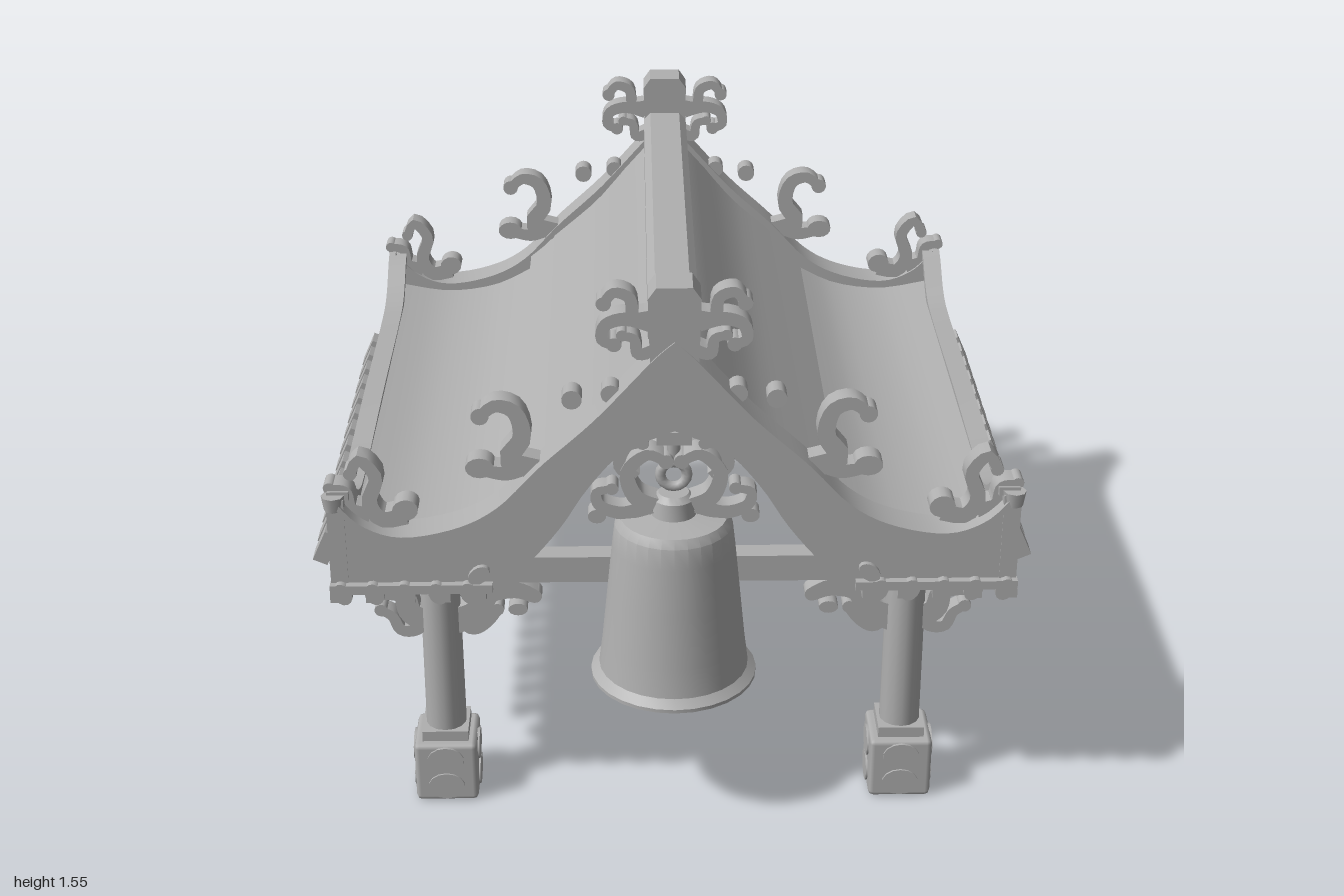
import * as THREE from 'three';
import { toCreasedNormals } from 'three/addons/utils/BufferGeometryUtils.js';
import { RoundedBoxGeometry } from 'three/addons/geometries/RoundedBoxGeometry.js';

const stone = new THREE.MeshStandardMaterial({ color: 0xb0b0b0, side: THREE.DoubleSide });
stone.name = 'stone grey';

const V = (x, y) => new THREE.Vector2(x, y);
const smooth = (pts, n = 24) => new THREE.SplineCurve(pts.map(p => V(p[0], p[1]))).getPoints(n);
const flip = pts => pts.map(p => V(-p.x, p.y)).reverse();

export function createModel() {
  const root = new THREE.Group();
  root.name = 'bellPavilion';

  const add = (name, geo, x = 0, y = 0, z = 0, parent = root) => {
    const m = new THREE.Mesh(geo, stone);
    m.name = name;
    m.position.set(x, y, z);
    parent.add(m);
    return m;
  };
  const box = (name, w, h, d, x, y, z, parent) => add(name, new THREE.BoxGeometry(w, h, d), x, y, z, parent);

  // Outline in the xy plane, extruded symmetrically around z
  const plate = (pts, depth) => {
    const g = new THREE.ExtrudeGeometry(new THREE.Shape(pts), { depth, bevelEnabled: false, curveSegments: 8 });
    g.translate(0, 0, -depth / 2);
    return toCreasedNormals(g, 0.6);
  };

  // Tapering curl with a round knob at its tip; s mirrors it in x
  const curl = (name, pts, w0, w1, s, z, depth, knob = 0) => {
    const line = smooth(pts.map(p => [p[0] * s, p[1]]), 16);
    const a = [], b = [];
    line.forEach((p, i) => {
      const q = line[Math.min(i + 1, 16)], o = line[Math.max(i - 1, 0)];
      const n = V(o.y - q.y, q.x - o.x).normalize().multiplyScalar((w0 + (w1 - w0) * i / 16) / 2);
      a.push(V(p.x + n.x, p.y + n.y));
      b.unshift(V(p.x - n.x, p.y - n.y));
    });
    add(name, plate([...a, ...b], depth), 0, 0, z);
    if (knob) disc(name + 'Knob', line[16].x, line[16].y, knob, knob, 0, z, depth);
  };
  const disc = (name, x, y, rx, ry, tilt, z, depth) => {
    const g = new THREE.CylinderGeometry(1, 1, depth, 14).rotateX(Math.PI / 2).scale(rx, ry, 1).rotateZ(tilt);
    add(name, g, x, y, z);
  };

  // Roof sheet with a crease halfway down each slope
  const top = [...smooth([[0, 1.37], [0.06, 1.33], [0.2, 1.16], [0.31, 1.06], [0.43, 0.96]], 12),
    ...smooth([[0.435, 0.91], [0.55, 0.855], [0.7, 0.835], [0.85, 0.86]], 10)];
  const under = top.map(p => V(p.x, p.y - 0.04)).reverse();
  add('roofSheet', plate([...flip(top).slice(0, -1), ...top, ...under.slice(0, -1), ...flip(under)], 1.66));

  // Ridge beam along the top
  const ridge = [V(-0.065, 1.31), V(0.065, 1.31), V(0.065, 1.42), V(0.045, 1.44), V(-0.045, 1.44), V(-0.065, 1.42)];
  add('ridgeBeam', plate(ridge, 1.64));

  // Gable boards: swept outline with a thin trim on the upper edge
  const edge = smooth([[0, 1.385], [0.06, 1.33], [0.2, 1.175], [0.34, 1.045], [0.45, 0.93],
    [0.56, 0.87], [0.7, 0.845], [0.8, 0.88], [0.865, 0.95]], 36);
  const lower = smooth([[0.45, 0.71], [0.37, 0.79], [0.29, 0.89], [0.22, 1.0], [0.13, 1.1], [0, 1.16]], 18);
  const gable = [...flip(edge).slice(0, -1), ...edge, V(0.865, 0.71), ...lower, ...flip(lower).slice(1), V(-0.865, 0.71)];
  const raise = edge.map(p => V(p.x, p.y + 0.022));
  const trim = [...flip(raise).slice(0, -1), ...raise, ...[...edge].reverse(), ...flip(edge).reverse().slice(1)];
  // Mirror half of the lower trim edge runs from centre to left tip
  trim.splice(trim.length - edge.length + 1, edge.length - 1, ...edge.slice(1).map(p => V(-p.x, p.y)));

  // Bell profile: outside from lip to crown, then back down inside
  const bellProfile = [[0.195, 0.40], [0.205, 0.39], [0.222, 0.39], [0.222, 0.4], [0.2, 0.42], [0.19, 0.5],
    [0.175, 0.65], [0.162, 0.78], [0.155, 0.84], [0.14, 0.862], [0.06, 0.87], [0.055, 0.915], [0.04, 0.93], [0, 0.93]];
  const bellInside = [[0.195, 0.4], [0.18, 0.5], [0.155, 0.75], [0.14, 0.83], [0, 0.845]];

  for (const f of [1, -1]) {
    add('gableBoard', plate(gable, 0.07), 0, 0, f * 0.855);
    add('gableTrim', plate(trim, 0.1), 0, 0, f * 0.85);

    // Ridge end post
    const post = [V(-0.05, 1.2), V(0.05, 1.2), V(0.058, 1.24), V(0.066, 1.52), V(0.045, 1.55),
      V(-0.045, 1.55), V(-0.066, 1.52), V(-0.058, 1.24)];
    add('ridgePost', plate(post, 0.1), 0, 0, f * 0.845);

    // Cross beam between the posts
    box('crossBeam', 1.24, 0.075, 0.06, 0, 0.695, f * 0.74);

    // Bell, clapper and hanger
    const bz = f * 0.775;
    const lathe = (p, n) => toCreasedNormals(new THREE.LatheGeometry(p.map(q => V(q[0], q[1])), n), 0.5);
    add('bell', lathe(bellProfile, 28), 0, 0, bz);
    add('bellInside', lathe(bellInside, 28), 0, 0, bz);
    add('clapperRod', new THREE.CylinderGeometry(0.011, 0.011, 0.52, 8), 0, 0.59, bz);
    add('clapper', lathe([[0, 0.265], [0.018, 0.268], [0.025, 0.285], [0.025, 0.31], [0.012, 0.335], [0, 0.335]], 10), 0, 0, bz);
    add('hangerPin', new THREE.CylinderGeometry(0.022, 0.015, 0.12, 8), 0, 1.08, bz);
    box('hangerBlock', 0.09, 0.035, 0.15, 0, 1.125, f * 0.79);
    add('hangerRing', new THREE.TorusGeometry(0.035, 0.014, 8, 16), 0, 0.98, bz);

    for (const s of [1, -1]) {
      // Crown scrolls on the bell
      curl('crownArch', [[0.05, 0.9], [0.1, 0.93], [0.12, 1.0], [0.07, 1.05], [0.02, 1.03]], 0.05, 0.025, s, bz, 0.06, 0.02);
      curl('crownCurl', [[0.06, 0.9], [0.13, 0.88], [0.19, 0.9], [0.2, 0.94], [0.16, 0.95]], 0.045, 0.02, s, bz, 0.05, 0.017);
      curl('crownTip', [[0.1, 0.98], [0.14, 1.02], [0.12, 1.07], [0.08, 1.08]], 0.04, 0.02, s, bz, 0.05, 0.017);
      disc('crownFoot', s * 0.2, 0.87, 0.024, 0.02, 0, bz, 0.05);

      // Curls beside the ridge post
      const oz = f * 0.835, od = 0.055;
      curl('ridgeCurl', [[0.06, 1.46], [0.1, 1.46], [0.11, 1.51], [0.15, 1.525], [0.175, 1.495]], 0.035, 0.025, s, oz, od, 0.019);
      curl('ridgeCurl', [[0.06, 1.44], [0.12, 1.455], [0.17, 1.44], [0.18, 1.4], [0.15, 1.385]], 0.04, 0.025, s, oz, od, 0.019);
      curl('ridgeCurl', [[0.05, 1.37], [0.09, 1.36], [0.1, 1.4], [0.13, 1.41]], 0.035, 0.022, s, oz, od, 0.015);
      disc('gableKnob', s * 0.258, 1.235, 0.026, 0.026, 0, oz, od);
      disc('gableKnobFoot', s * 0.16, 1.25, 0.025, 0.025, 0, oz, od);

      // Scroll halfway down the gable
      curl('gableScroll', [[0.35, 1.04], [0.42, 1.07], [0.385, 1.13], [0.4, 1.2], [0.45, 1.22], [0.49, 1.19]], 0.06, 0.028, s, oz, od, 0.023);
      disc('gableScrollFoot', s * 0.495, 1.045, 0.037, 0.028, 0, oz, od);
      curl('gableScrollLink', [[0.38, 1.05], [0.43, 1.03], [0.49, 1.04]], 0.05, 0.03, s, oz, od);

      // Corner horn and its scrolls
      disc('cornerScrollFoot', s * 0.69, 0.925, 0.034, 0.03, 0.3, oz, od);
      curl('cornerScroll', [[0.69, 0.91], [0.75, 0.9], [0.78, 0.95], [0.76, 1.02], [0.8, 1.07], [0.825, 1.03]], 0.05, 0.025, s, oz, od, 0.017);
      curl('cornerHorn', [[0.78, 0.91], [0.83, 0.93], [0.84, 0.98], [0.88, 0.99]], 0.05, 0.022, s, oz, od, 0.016);
      box('cornerPost', 0.045, 0.27, 0.045, s * 0.865, 0.835, f * 0.87);
      add('cornerCap', new THREE.CylinderGeometry(0.03, 0.024, 0.04, 8), s * 0.87, 0.96, f * 0.88);

      // Rounded lobes along the foot of the gable
      for (let i = 0; i < 5; i++) disc('footLobe', s * (0.53 + i * 0.082), 0.705, 0.024, 0.032, -s * 0.4, f * 0.88, 0.06);
      disc('footLobe', s * 0.505, 0.755, 0.032, 0.022, -s * 0.7, f * 0.88, 0.05);

      // Post with carved plinth
      const px = s * 0.622, pz = f * 0.74;
      add('plinth', new RoundedBoxGeometry(0.17, 0.18, 0.17, 1, 0.014), px, 0.09, pz);
      box('plinthCollar', 0.125, 0.035, 0.125, px, 0.193, pz);
      add('post', new THREE.CylinderGeometry(0.053, 0.055, 0.47, 14), px, 0.44, pz);
      box('postCap', 0.13, 0.025, 0.13, px, 0.66, pz);
      for (const y of [0.05, 0.133]) {
        add('plinthOval', new THREE.CylinderGeometry(0.04, 0.04, 0.18, 14).scale(1.25, 1, 1).rotateX(Math.PI / 2), px, y, pz);
        add('plinthOval', new THREE.CylinderGeometry(0.04, 0.04, 0.18, 14).scale(1, 1, 1.25).rotateZ(Math.PI / 2), px, y, pz);
      }
      box('postArm', 0.44, 0.035, 0.05, s * 0.685, 0.672, pz);

      // Scrolled brackets on both sides of the post
      curl('outerBracket', [[0.64, 0.53], [0.7, 0.56], [0.72, 0.62], [0.78, 0.63]], 0.07, 0.05, s, pz, 0.045, 0.026);
      curl('outerBracketCurl', [[0.65, 0.55], [0.69, 0.51], [0.73, 0.51], [0.75, 0.55], [0.78, 0.57]], 0.04, 0.025, s, pz, 0.045, 0.018);
      curl('innerBracket', [[0.6, 0.53], [0.53, 0.56], [0.49, 0.62], [0.42, 0.63], [0.37, 0.61]], 0.08, 0.04, s, pz, 0.045, 0.02);
      curl('innerBracketCurl', [[0.58, 0.55], [0.54, 0.51], [0.5, 0.53], [0.47, 0.57]], 0.035, 0.03, s, pz, 0.045, 0.018);
      disc('bracketBead', s * 0.415, 0.57, 0.026, 0.018, 0, pz, 0.045);
    }
  }

  // Eaves: curved side board with rail, soffit, rails and rafter tails
  const sweep = smooth([[-0.88, 0.97], [-0.78, 0.94], [-0.66, 0.865], [-0.5, 0.845], [0, 0.85],
    [0.5, 0.845], [0.66, 0.865], [0.78, 0.94], [0.88, 0.97]], 40);
  const eave = [V(-0.88, 0.71), V(0.88, 0.71), ...[...sweep].reverse()];
  const rail = [...sweep.map(p => V(p.x, p.y - 0.005)), ...[...sweep].reverse().map(p => V(p.x, p.y + 0.018))];
  for (const s of [1, -1]) {
    add('eaveBoard', plate(eave, 0.025), s * 0.855, 0, 0).rotation.y = -Math.PI / 2;
    add('eaveRail', plate(rail, 0.055), s * 0.858, 0, 0).rotation.y = -Math.PI / 2;
    box('soffit', 0.42, 0.025, 1.82, s * 0.68, 0.718, 0);
    for (let i = 0; i < 5; i++) box('soffitRail', 0.035, 0.028, 1.82, s * (0.505 + i * 0.092), 0.695, 0);
    for (let i = 0; i < 13; i++) {
      const t = box('rafterTail', 0.042, 0.092, 0.065, s * 0.93, 0.705, -0.63 + i * 0.105);
      t.rotation.z = s * 0.42;
      box('rafter', 0.1, 0.03, 0.05, s * 0.88, 0.715, -0.63 + i * 0.105);
    }
  }
  return root;
}
